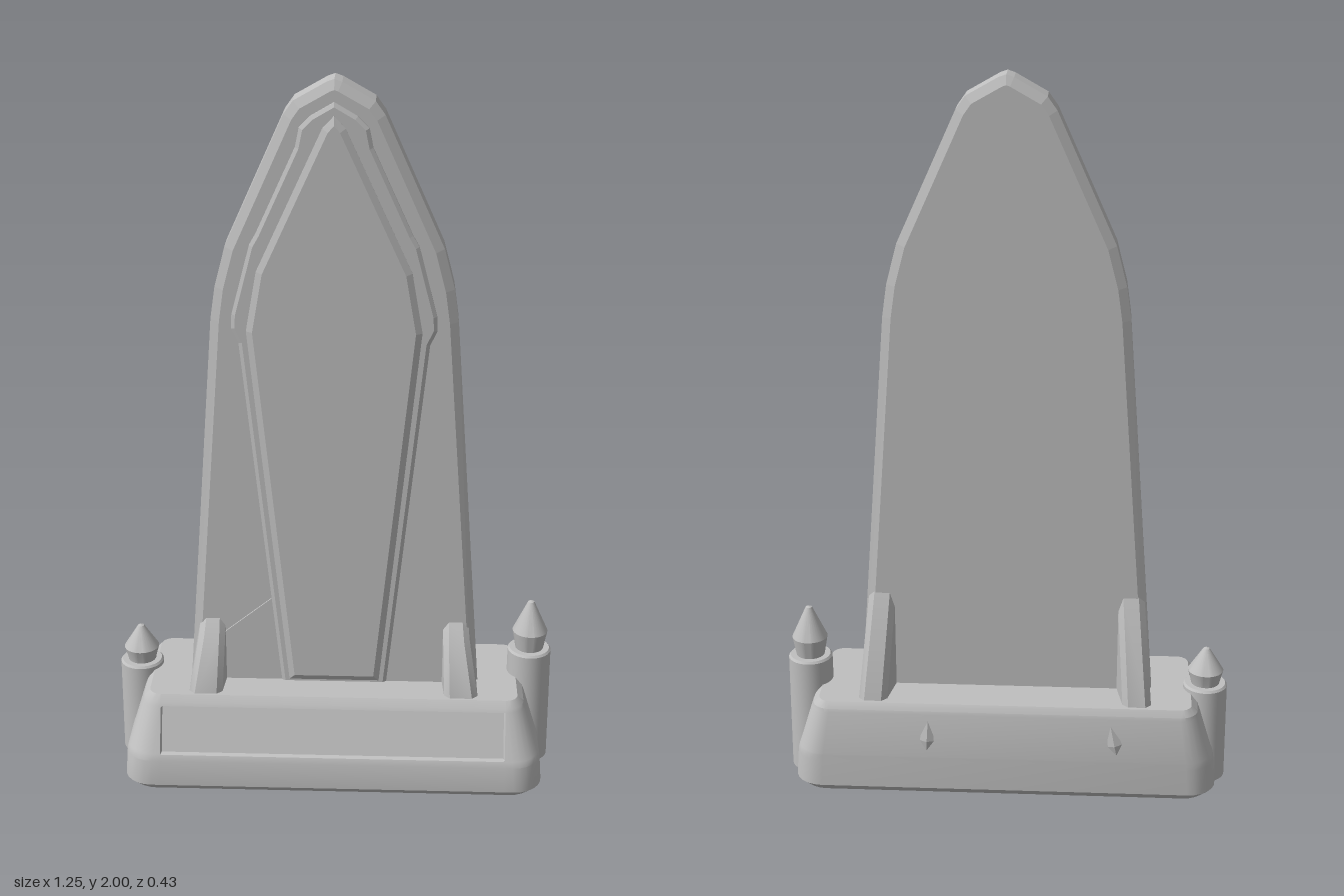
import * as THREE from 'three';
import { toCreasedNormals } from 'three/addons/utils/BufferGeometryUtils.js';
import { ConvexGeometry } from 'three/addons/geometries/ConvexGeometry.js';

const stone = new THREE.MeshStandardMaterial({ color: 0xbfbfbf });
stone.name = 'grey stone';

function add(parent, name, geometry) {
  const mesh = new THREE.Mesh(geometry, stone);
  mesh.name = name;
  parent.add(mesh);
  return mesh;
}

// Skin a stack of horizontal rings and close both ends
function loft(rings) {
  const n = rings[0].length, pos = rings.flat(2), idx = [];
  for (let k = 0; k < rings.length - 1; k++) {
    for (let i = 0; i < n; i++) {
      const a = k * n + i, b = k * n + (i + 1) % n;
      idx.push(a, a + n, b, b, a + n, b + n);
    }
  }
  const top = (rings.length - 1) * n, c = rings.length * n;
  pos.push(0, rings[0][0][1], 0, 0, rings[rings.length - 1][0][1], 0);
  for (let i = 0; i < n; i++) {
    const j = (i + 1) % n;
    idx.push(c, i, j, c + 1, top + j, top + i);
  }
  const g = new THREE.BufferGeometry();
  g.setAttribute('position', new THREE.Float32BufferAttribute(pos, 3));
  g.setIndex(idx);
  return toCreasedNormals(g, 0.4);
}

// Rounded rectangle ring; the middle of its front edge can be sunk for the plaque
function baseRing([y, hx, zf, zb, r, sunk]) {
  const pts = [];
  const corner = (cx, cz, start) => {
    for (let i = 0; i <= 6; i++) {
      const a = start + (i / 6) * Math.PI / 2;
      pts.push([cx + r * Math.cos(a), y, cz + r * Math.sin(a)]);
    }
  };
  const w = 0.488, z = zf - (sunk ? 0.009 : 0);
  corner(hx - r, zf - r, 0);
  pts.push([w, y, zf], [w - 0.004, y, z], [-w + 0.004, y, z], [-w, y, zf]);
  corner(-hx + r, zf - r, Math.PI / 2);
  corner(-hx + r, zb + r, Math.PI);
  corner(hx - r, zb + r, Math.PI * 1.5);
  return pts;
}

// Symmetrical bevelled plate from the right half of its outline, bottom to peak
function plate(half, z0, z1, size, thick) {
  const left = half.filter(p => p[0] > 0).reverse().map(([x, y]) => [-x, y]);
  const shape = new THREE.Shape([...half, ...left].map(p => new THREE.Vector2(...p)));
  const g = new THREE.ExtrudeGeometry(shape, {
    depth: z1 - z0 - 2 * thick, bevelEnabled: true, bevelSegments: 1,
    bevelSize: size, bevelOffset: -size, bevelThickness: thick
  });
  return g.translate(0, 0, z0 + thick);
}

// Buttress leaning on both faces of the slab, s = side
function buttress(s) {
  const pts = [];
  const edge = (y, z, x0, x1, dir) => {
    const c = 0.016;
    for (const [x, dz] of [[x0, c], [x0 + c, 0], [x1 - c, 0], [x1, c]]) {
      pts.push(new THREE.Vector3(s * x, y, z - dir * dz));
    }
  };
  const front = [[0.2, 0.13, 0.315, 0.41], [0.27, 0.13, 0.315, 0.41], [0.42, 0.065, 0.31, 0.385], [0.47, 0.03, 0.31, 0.38]];
  const back = [[0.2, -0.18, 0.33, 0.41], [0.27, -0.18, 0.33, 0.41], [0.57, -0.065, 0.31, 0.385]];
  const g = new THREE.Group();
  for (const [rows, dir, name] of [[front, 1, 'frontButtress'], [back, -1, 'backButtress']]) {
    pts.length = 0;
    rows.forEach(r => edge(...r, dir));
    for (const y of [0.2, 0.4]) {
      for (const x of [0.305, 0.395]) pts.push(new THREE.Vector3(s * x, y, -0.02));
    }
    add(g, name, toCreasedNormals(new ConvexGeometry(pts), 0.5));
  }
  return g;
}

// Round corner post with a pointed cap
function post(x, h, shoulder, tip) {
  const profile = [[0, 0], [0.064, 0], [0.062, h - 0.006], [0.057, h], [0.04, h],
    [0.042, h + 0.01], [0.05, shoulder], [0.009, tip - 0.004], [0, tip]];
  const g = new THREE.LatheGeometry(profile.map(p => new THREE.Vector2(...p)), 32);
  return toCreasedNormals(g, 0.5).translate(x, 0, -0.045);
}

export function createModel() {
  const model = new THREE.Group();
  model.name = 'monument';

  // Plinth: y, half width, front, back, corner radius, sunk front
  add(model, 'plinth', loft([
    [0, 0.575, 0.195, -0.2, 0.07],
    [0.022, 0.597, 0.215, -0.219, 0.08],
    [0.1, 0.591, 0.213, -0.217, 0.08],
    [0.117, 0.586, 0.206, -0.216, 0.075],
    [0.121, 0.584, 0.204, -0.216, 0.075, true],
    [0.242, 0.547, 0.157, -0.203, 0.055, true],
    [0.246, 0.545, 0.155, -0.202, 0.054],
    [0.256, 0.541, 0.15, -0.2, 0.05],
    [0.274, 0.523, 0.135, -0.188, 0.033]
  ].map(baseRing)));

  // Tall pointed slab and its stepped front panels
  add(model, 'slab', plate([[0.418, 0.2], [0.33, 1.36], [0.317, 1.45], [0.288, 1.56], [0.13, 1.91],
    [0.105, 1.945], [0.02, 1.993], [0, 2]], -0.07, 0.033, 0.024, 0.013));
  add(model, 'raisedBorder', plate([[0.142, 0.2], [0.255, 1.3], [0.274, 1.34], [0.272, 1.38], [0.222, 1.57],
    [0.205, 1.6], [0.1, 1.83], [0.09, 1.88], [0.06, 1.91], [0, 1.945]], 0.02, 0.045, 0.01, 0.006));
  add(model, 'centrePanel', plate([[0.128, 0.28], [0.234, 1.335], [0.205, 1.5], [0.03, 1.88],
    [0, 1.912]], 0.03, 0.055, 0.017, 0.009));

  for (const s of [1, -1]) {
    const side = s > 0 ? 'left' : 'right';
    const b = buttress(s);
    b.name = side + 'Buttress';
    model.add(b);

    // Thin web between the buttress and the panel
    const web = new THREE.Shape([[0.13, 0.22], [0.34, 0.22], [0.33, 0.41], [0.17, 0.54]]
      .map(([x, y]) => new THREE.Vector2(s * x, y)));
    add(model, side + 'Web', new THREE.ExtrudeGeometry(web, { depth: 0.008, bevelEnabled: false }).translate(0, 0, 0.03));
  }

  // Corner posts of unequal height
  add(model, 'leftPost', post(0.562, 0.35, 0.405, 0.5));
  add(model, 'rightPost', post(-0.565, 0.29, 0.33, 0.4));

  // Diamond chips on the back of the plinth
  for (const [x, tilt] of [[0.215, 0.05], [-0.31, -0.2]]) {
    const chip = add(model, 'backChip', new THREE.OctahedronGeometry(1));
    chip.scale.set(0.024, 0.06, 0.01);
    chip.position.set(x, 0.17, -0.209);
    chip.rotation.z = tilt;
  }
  return model;
}
